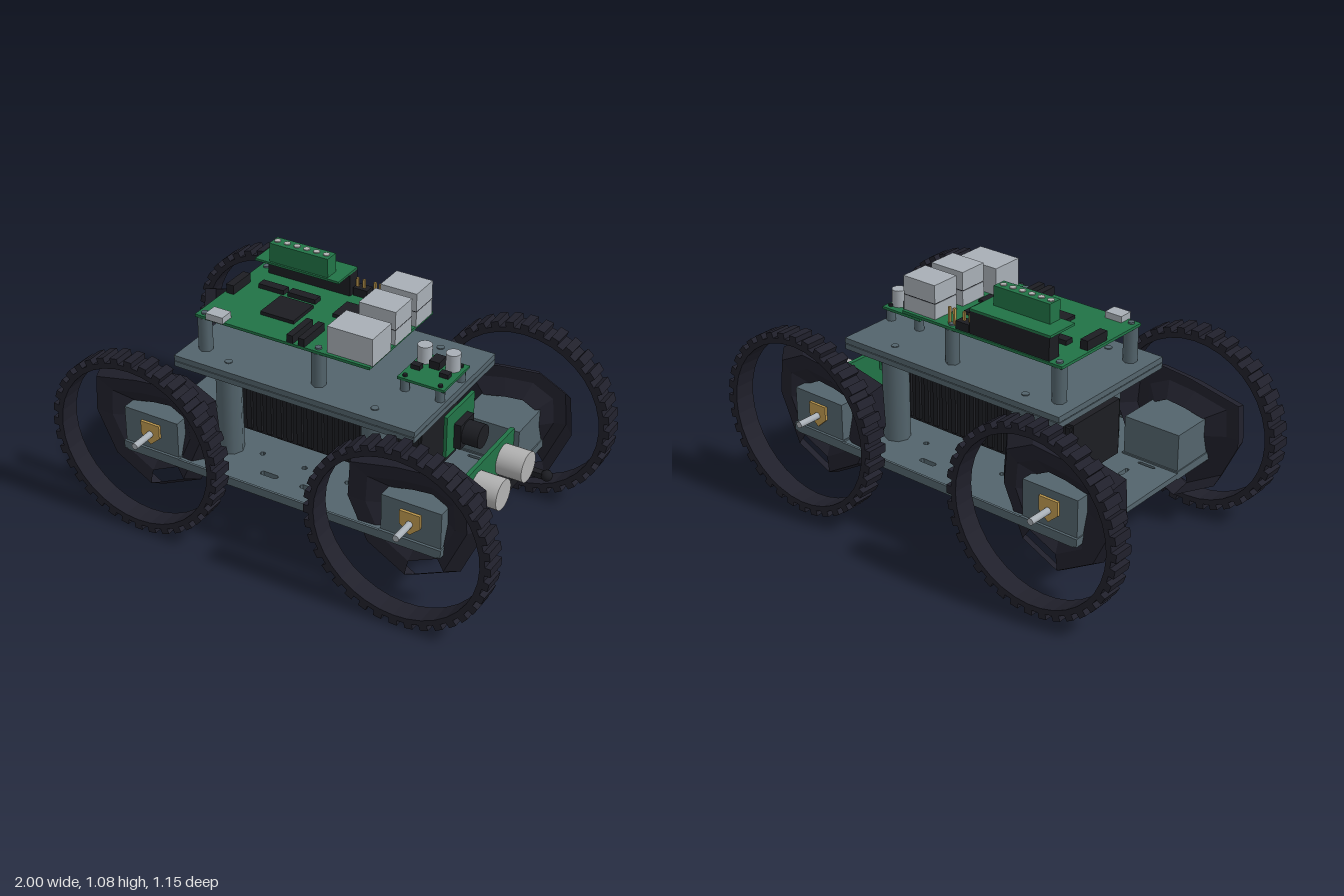
import * as THREE from 'three';

const mat = (name, color, o = {}) => new THREE.MeshStandardMaterial({ name, color, ...o });

export function createModel() {
  const slate = mat('slate', 0x53646c);
  const dark = mat('dark rubber', 0x20202b, { flatShading: true, side: THREE.DoubleSide });
  const black = mat('black plastic', 0x1c1d22);
  const green = mat('board green', 0x217346);
  const metal = mat('light metal', 0xa8afb6);
  const pale = mat('pale grey', 0xb2b2b2);
  const gold = mat('brass', 0xbf9a4f);

  const root = new THREE.Group();
  root.name = 'rover';

  const add = (name, geo, m, parent = root) => {
    const mesh = new THREE.Mesh(geo, m);
    mesh.name = name;
    parent.add(mesh);
    return mesh;
  };
  // box given by its limits on each axis
  const box = (name, m, x0, x1, y0, y1, z0, z1, parent = root) => {
    const g = new THREE.BoxGeometry(x1 - x0, y1 - y0, z1 - z0);
    g.translate((x0 + x1) / 2, (y0 + y1) / 2, (z0 + z1) / 2);
    return add(name, g, m, parent);
  };
  // upright post from y0 to y1
  const post = (name, m, x, z, r, y0, y1, sides = 16) =>
    add(name, new THREE.CylinderGeometry(r, r, y1 - y0, sides).translate(x, (y0 + y1) / 2, z), m);
  // rod along x
  const rodX = (name, m, x0, x1, y, z, r) =>
    add(name, new THREE.CylinderGeometry(r, r, x1 - x0, 28).rotateZ(Math.PI / 2).translate((x0 + x1) / 2, y, z), m);
  // horizontal plate with chamfered corners and slots [x, z, length x, length z]
  const plate = (name, m, hx, hz, y0, y1, c, slots) => {
    const s = new THREE.Shape([
      [-hx + c, -hz], [hx - c, -hz], [hx, -hz + c], [hx, hz - c],
      [hx - c, hz], [-hx + c, hz], [-hx, hz - c], [-hx, -hz + c],
    ].map(p => new THREE.Vector2(...p)));
    for (const [x, z, lx, lz] of slots) {
      const a = lx / 2, b = lz / 2, k = Math.min(a, b) * 0.6;
      s.holes.push(new THREE.Path([
        [x - a, z - b + k], [x - a, z + b - k], [x - a + k, z + b], [x + a - k, z + b],
        [x + a, z + b - k], [x + a, z - b + k], [x + a - k, z - b], [x - a + k, z - b],
      ].map(p => new THREE.Vector2(...p))));
    }
    const g = new THREE.ExtrudeGeometry(s, { depth: y1 - y0, bevelEnabled: false });
    return add(name, g.rotateX(Math.PI / 2).translate(0, y1, 0), m);
  };

  // lower chassis
  const slots = [];
  for (const sz of [-1, 1]) {
    for (const x of [-0.095, 0.09]) slots.push([x, sz * 0.355, 0.08, 0.024]);
    for (const x of [-0.56, 0.6]) slots.push([x, sz * 0.08, 0.018, 0.06], [x - 0.04, sz * 0.18, 0.08, 0.014]);
    for (const x of [-0.4, -0.2, 0, 0.2, 0.4]) slots.push([x, sz * 0.1, 0.022, 0.022], [x, sz * 0.24, 0.022, 0.022]);
  }
  plate('chassisPlate', slate, 0.735, 0.455, 0.295, 0.318, 0.03, slots);
  for (const s of [-1, 1]) {
    box('chassisLip', slate, -0.72, 0.72, 0.285, 0.322, s * 0.453 - 0.005, s * 0.453 + 0.005);
  }

  // battery pack with ribbed sides
  box('batteryPack', black, -0.48, 0.48, 0.345, 0.59, -0.15, 0.15);
  for (let i = 0; i < 20; i++) {
    const x = -0.46 + i * 0.0484;
    for (const s of [-1, 1]) box('batteryRib', black, x - 0.012, x + 0.012, 0.36, 0.58, s * 0.155 - 0.007, s * 0.155 + 0.007);
  }

  // pillars and upper deck
  for (const x of [-0.335, 0.335]) for (const z of [-0.265, 0.265]) {
    post('deckPillar', slate, x, z, 0.055, 0.315, 0.68, 8);
    post('deckScrew', slate, x, z, 0.016, 0.72, 0.729, 12);
  }
  box('deckLower', slate, -0.55, 0.545, 0.675, 0.698, -0.335, 0.335);
  box('deckUpper', slate, -0.55, 0.545, 0.701, 0.725, -0.335, 0.335);

  // wheel corner: motor mount, shaft, crumpled rim, tyre; built for +z and mirrored
  const outer = [[-0.3, 0.02], [-0.29, 0.2], [-0.06, 0.25], [0.13, 0.27], [0.27, 0.2], [0.285, 0.03], [0.18, -0.21], [-0.01, -0.3], [-0.2, -0.19]];
  const rimLoops = [[1, 0.37, 0], [0.88, 0.435, -0.02], [0.66, 0.43, -0.01], [0.42, 0.385, 0]];
  const rimGeo = sz => {
    const pos = [], idx = [], n = outer.length;
    for (const [k, z, dx] of rimLoops) for (const [x, y] of outer) pos.push(x * k + dx, y * k, sz * z);
    for (let j = 0; j < rimLoops.length - 1; j++) for (let i = 0; i < n; i++) {
      const a = j * n + i, b = j * n + (i + 1) % n, open = j === 1 && i === 6;
      if (!open) idx.push(a, b, a + n, b, b + n, a + n);
    }
    const g = new THREE.BufferGeometry();
    g.setAttribute('position', new THREE.Float32BufferAttribute(pos, 3));
    g.setIndex(idx);
    g.computeVertexNormals();
    return g;
  };
  const tyreProfile = [[0.355, -0.046], [0.378, -0.046], [0.378, 0.046], [0.355, 0.046], [0.355, -0.046]].map(p => new THREE.Vector2(...p));
  const tyreGeo = new THREE.LatheGeometry(tyreProfile, 36).rotateX(Math.PI / 2);
  const treadGeo = new THREE.BoxGeometry(0.036, 0.034, 0.092);
  for (const wx of [-0.6, 0.6]) for (const sz of [-1, 1]) {
    const w = new THREE.Group();
    w.name = 'wheel';
    w.position.set(wx, 0.4, 0);
    root.add(w);
    const tyre = add('tyre', tyreGeo, dark, w);
    tyre.position.z = sz * 0.528;
    for (let i = 0; i < 36; i++) {
      const a = (i / 36) * Math.PI * 2;
      const t = add('tread', treadGeo, dark, w);
      t.position.set(-Math.sin(a) * 0.383, Math.cos(a) * 0.383, sz * 0.528);
      t.rotation.z = a;
    }
    add('rim', rimGeo(sz), dark, w);
    const zr = (a, b) => (sz > 0 ? [a, b] : [-b, -a]);
    box('motorMount', slate, -0.13, 0.13, -0.085, 0.085, ...zr(0.205, 0.447), w);
    box('mountFlange', slate, -0.135, 0.135, -0.11, -0.075, ...zr(0.2, 0.458), w);
    const face = new THREE.Shape([[-0.045, 0.05], [0.045, 0.05], [0.045, -0.01], [0, -0.05], [-0.045, -0.01]].map(p => new THREE.Vector2(...p)));
    add('gearPlate', new THREE.ExtrudeGeometry(face, { depth: 0.012, bevelEnabled: false }), gold, w).position.z = sz > 0 ? 0.446 : -0.458;
    add('axle', new THREE.CylinderGeometry(0.014, 0.014, 0.12, 14).rotateX(Math.PI / 2), metal, w).position.z = sz * 0.505;
  }

  // main computer board on standoffs
  for (const x of [-0.47, 0.06]) for (const z of [-0.23, 0.225]) {
    post('boardStandoff', slate, x, z, 0.03, 0.72, 0.876, 6);
    post('boardScrew', slate, x, z, 0.014, 0.88, 0.895, 10);
  }
  box('mainBoard', green, -0.5, 0.3, 0.876, 0.888, -0.255, 0.25);
  box('networkPort', metal, 0.105, 0.305, 0.885, 1.005, 0.092, 0.236);
  for (const z of [-0.24, -0.073]) {
    box('dataPortLower', metal, 0.14, 0.303, 0.885, 0.953, z, z + 0.13);
    box('dataPortUpper', metal, 0.14, 0.303, 0.957, 1.034, z, z + 0.13);
    box('dataPortSeam', black, 0.142, 0.302, 0.952, 0.958, z + 0.001, z + 0.129);
  }
  for (const [x0, x1, z0, z1, h] of [
    [-0.275, -0.12, -0.03, 0.12, 0.015], [-0.02, 0.09, -0.125, -0.01, 0.015], [0.05, 0.12, 0, 0.07, 0.012],
    [-0.49, -0.455, -0.085, 0.04, 0.04], [-0.07, -0.042, 0.1, 0.25, 0.035], [-0.018, 0.01, 0.1, 0.25, 0.035],
    [-0.26, -0.13, -0.1, -0.06, 0.02], [-0.4, -0.28, -0.1, -0.06, 0.02], [-0.04, 0.025, -0.25, -0.205, 0.035],
  ]) box('chip', black, x0, x1, 0.886, 0.888 + h, z0, z1);
  box('powerSocket', metal, -0.44, -0.36, 0.886, 0.915, 0.2, 0.262);
  for (const x of [-0.03, 0.0, 0.05, 0.075]) box('headerPin', gold, x - 0.005, x + 0.005, 0.886, 0.96, -0.232, -0.222);

  // raised expansion board with terminal block
  box('expansionHeader', black, -0.435, -0.045, 0.886, 0.985, -0.25, -0.19);
  box('expansionBoard', green, -0.44, -0.045, 0.985, 0.995, -0.25, -0.1);
  box('terminalBlock', green, -0.375, -0.1, 0.995, 1.078, -0.17, -0.108);
  for (let i = 0; i < 6; i++) post('terminalScrew', pale, -0.355 + i * 0.046, -0.14, 0.014, 1.07, 1.082, 10);

  // small power board
  box('powerBoard', green, 0.34, 0.545, 0.775, 0.786, -0.11, 0.105);
  for (const x of [0.365, 0.52]) for (const z of [-0.085, 0.085]) {
    post('powerStandoff', slate, x, z, 0.02, 0.72, 0.775, 8);
    post('powerScrew', black, x, z, 0.01, 0.785, 0.795, 8);
  }
  for (const x of [0.375, 0.5]) {
    post('capacitor', metal, x, -0.055, 0.03, 0.785, 0.86, 20);
    box('diode', black, x - 0.02, x + 0.02, 0.785, 0.805, -0.005, 0.025);
  }
  box('inductor', black, 0.415, 0.46, 0.785, 0.82, -0.075, -0.015);

  // camera
  box('cameraBoard', green, 0.555, 0.57, 0.49, 0.675, -0.115, 0.115);
  box('cameraBase', black, 0.568, 0.6, 0.505, 0.615, -0.055, 0.055);
  rodX('cameraLens', black, 0.59, 0.67, 0.56, 0, 0.05);

  // distance sensor
  box('sensorBoard', green, 0.69, 0.708, 0.32, 0.498, -0.205, 0.2);
  for (const z of [-0.11, 0.11]) rodX('sensorEye', pale, 0.705, 0.82, 0.405, z, 0.065);

  // front connectors under the sensor
  box('connector', black, 0.71, 0.77, 0.305, 0.35, -0.2, -0.045);
  box('connectorPlug', black, 0.76, 0.85, 0.315, 0.34, -0.21, -0.18);
  add('plugTip', new THREE.SphereGeometry(0.024, 12, 8).translate(0.865, 0.33, -0.195), black);
  box('connector', black, 0.71, 0.75, 0.315, 0.35, 0.01, 0.1);

  return root;
}
